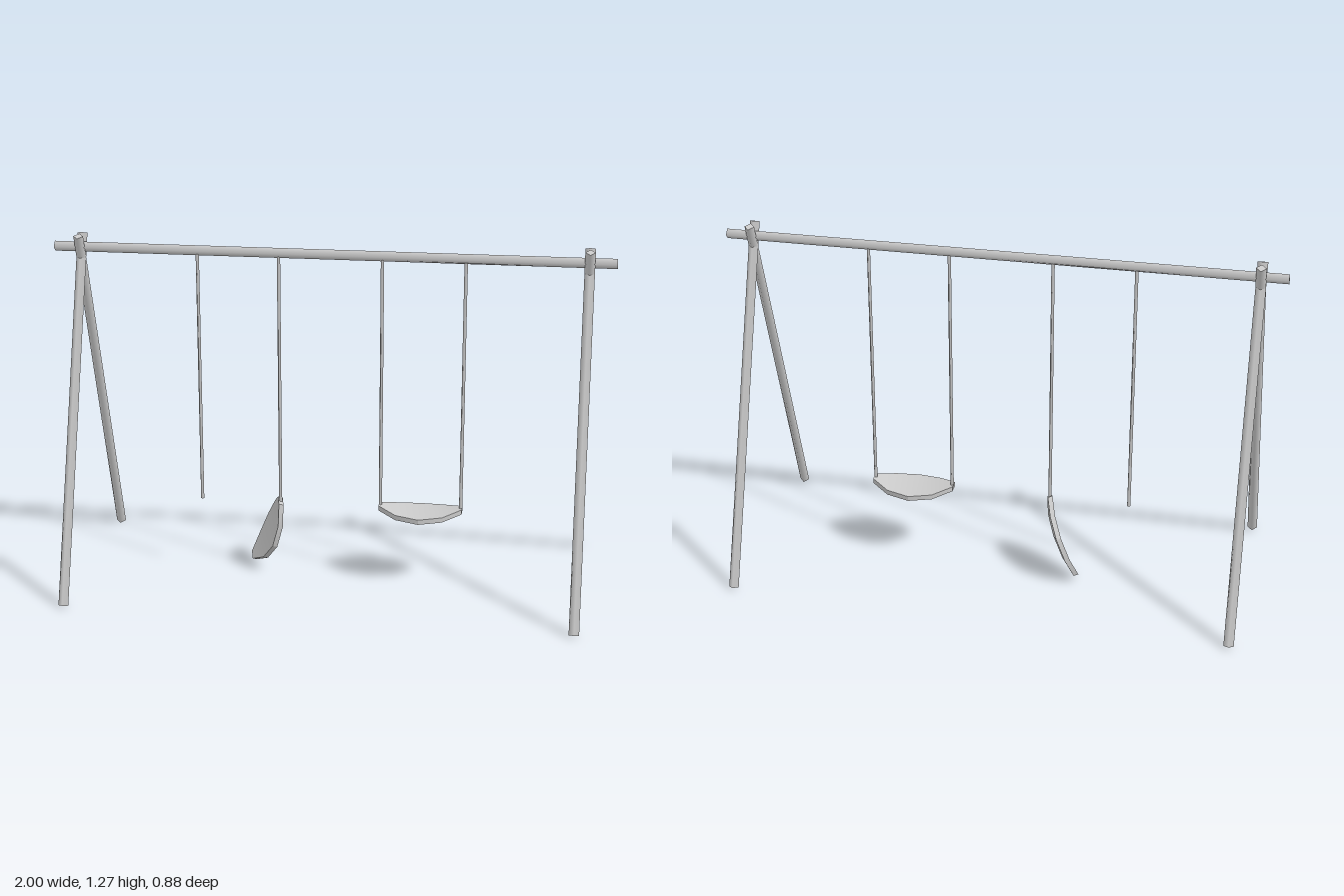
import * as THREE from 'three';
import { toCreasedNormals } from 'three/addons/utils/BufferGeometryUtils.js';

const material = new THREE.MeshStandardMaterial({ color: 0xcccccc });

// Four-sided pole with smooth sides between two points
function pole(name, from, to, radius) {
  const a = new THREE.Vector3(...from), b = new THREE.Vector3(...to);
  const dir = b.clone().sub(a);
  const mesh = new THREE.Mesh(new THREE.CylinderGeometry(radius, radius, dir.length(), 4), material);
  mesh.name = name;
  mesh.position.copy(a).add(b).multiplyScalar(0.5);
  mesh.quaternion.setFromUnitVectors(new THREE.Vector3(0, 1, 0), dir.normalize());
  return mesh;
}

// Sagging leaf-shaped seat: rectangular sections [x, y, half width] along x
function seatGeometry() {
  const sections = [
    [-0.152, 0, 0.02], [-0.085, -0.016, 0.068], [0, -0.022, 0.088],
    [0.085, -0.016, 0.068], [0.152, 0, 0.02],
  ];
  const t = 0.009;
  const positions = [], index = [];
  for (const [x, y, w] of sections) {
    positions.push(x, y + t, w, x, y + t, -w, x, y - t, -w, x, y - t, w);
  }
  for (let i = 0; i < sections.length - 1; i++) {
    for (let j = 0; j < 4; j++) {
      const a = i * 4 + j, b = i * 4 + (j + 1) % 4;
      index.push(a, a + 4, b, b, a + 4, b + 4);
    }
  }
  const e = (sections.length - 1) * 4;
  index.push(0, 1, 2, 0, 2, 3, e, e + 2, e + 1, e, e + 3, e + 2);
  const geometry = new THREE.BufferGeometry();
  geometry.setAttribute('position', new THREE.Float32BufferAttribute(positions, 3));
  geometry.setIndex(index);
  return toCreasedNormals(geometry, 0.45);
}

export function createModel() {
  const group = new THREE.Group();
  group.name = 'swingSet';

  // Top beam
  group.add(pole('beam', [-1, 1.22, 0], [1, 1.22, 0], 0.018));

  // Crossed legs at both ends
  for (const x of [-0.905, 0.905]) {
    for (const s of [-1, 1]) {
      group.add(pole('leg', [x, 0.006, s * 0.424], [x, 1.264, s * -0.03], 0.018));
    }
  }

  // Ropes
  for (const x of [-0.48, -0.187, 0.183, 0.477]) {
    group.add(pole('rope', [x, 0.28, 0], [x, 1.215, 0], 0.006));
  }

  // Level seat
  const geometry = seatGeometry();
  const seat = new THREE.Mesh(geometry, material);
  seat.name = 'seat';
  seat.position.set(0.33, 0.283, 0);
  group.add(seat);

  // Loose seat dangling from a single rope
  const along = new THREE.Vector3(0.391, 0.861, 0.321).normalize();
  const across = new THREE.Vector3(0.227, -0.43, 0.878);
  const up = across.clone().cross(along).normalize();
  across.crossVectors(along, up);
  const looseSeat = new THREE.Mesh(geometry, material);
  looseSeat.name = 'looseSeat';
  looseSeat.quaternion.setFromRotationMatrix(new THREE.Matrix4().makeBasis(along, up, across));
  looseSeat.position.set(-0.246, 0.154, -0.0485);
  group.add(looseSeat);

  return group;
}
